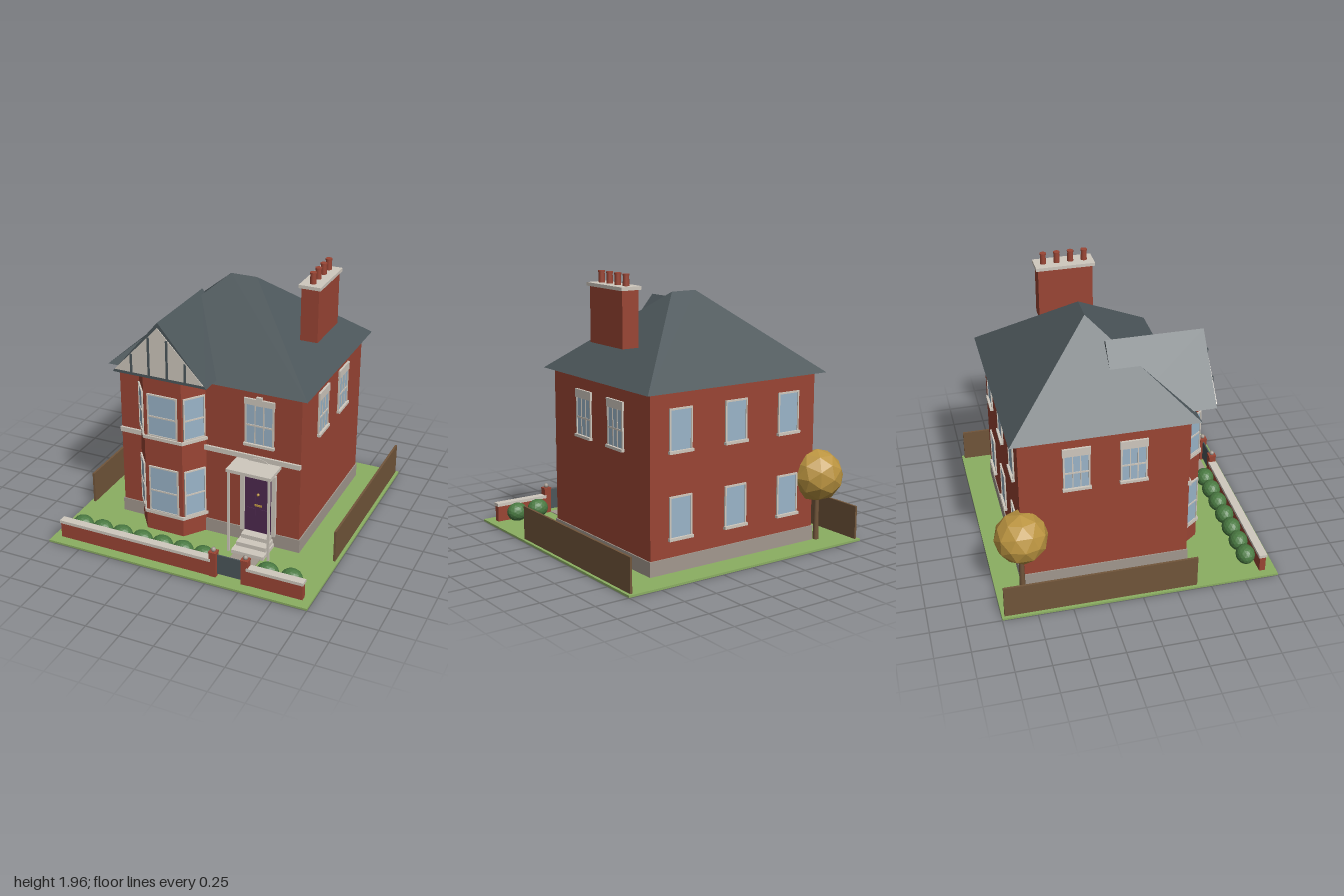
import * as THREE from 'three';
import { ConvexGeometry } from 'three/addons/geometries/ConvexGeometry.js';

const mat = (name, color, flatShading = false) => {
  const m = new THREE.MeshStandardMaterial({ color, flatShading });
  m.name = name;
  return m;
};

export function createModel() {
  const brick = mat('brick', 0x9a4534), cream = mat('cream stone', 0xcfc8be), slate = mat('slate', 0x4c565a);
  const grass = mat('grass', 0x8bae62), wood = mat('wood', 0x71553a), glass = mat('glass', 0x9ab4c8);
  const purple = mat('purple paint', 0x4e2a50), gold = mat('gold', 0xbb9440, true);
  const leaf = mat('leaf green', 0x4a7a42, true), stone = mat('grey stone', 0xa2988e);

  const model = new THREE.Group();
  model.name = 'house';
  const add = (name, geo, m, x = 0, y = 0, z = 0, parent = model) => {
    const mesh = new THREE.Mesh(geo, m);
    mesh.name = name;
    mesh.position.set(x, y, z);
    parent.add(mesh);
    return mesh;
  };
  // Box given by its minimum and maximum on each axis
  const box = (name, m, x0, x1, y0, y1, z0, z1, parent = model) =>
    add(name, new THREE.BoxGeometry(x1 - x0, y1 - y0, z1 - z0), m, (x0 + x1) / 2, (y0 + y1) / 2, (z0 + z1) / 2, parent);
  const shapeOf = pts => new THREE.Shape(pts.map(p => new THREE.Vector2(...p)));
  const extrude = (shape, depth) => new THREE.ExtrudeGeometry(shape, { depth, bevelEnabled: false, curveSegments: 16 });

  // Window facing +z with its bottom centre at the origin, then turned into place
  const windowUnit = (name, x, y, z, turn, w, h, { cols = 1, mid = true, sill = true, lintel = 0, key = false, f = 0.012 } = {}) => {
    const g = new THREE.Group();
    g.name = name;
    g.position.set(x, y, z);
    g.rotation.y = turn;
    model.add(g);
    box('pane', glass, -w / 2, w / 2, 0, h, -0.002, 0.006, g);
    for (const s of [-1, 1]) {
      const c = s * (w + f) / 2;
      box('jamb', cream, c - f / 2, c + f / 2, 0, h, -0.002, 0.012, g);
    }
    box('head', cream, -w / 2 - f, w / 2 + f, h, h + f, -0.002, 0.012, g);
    box('bottomRail', cream, -w / 2 - f, w / 2 + f, -f, 0, -0.002, 0.012, g);
    if (mid) box('meetingRail', cream, -w / 2, w / 2, h * 0.47 - 0.006, h * 0.47 + 0.006, 0, 0.011, g);
    for (let i = 1; i < cols; i++) {
      const c = -w / 2 + (w * i) / cols;
      box('glazingBar', cream, c - 0.004, c + 0.004, 0, h, 0, 0.01, g);
    }
    if (sill) box('sill', cream, -w / 2 - 0.018, w / 2 + 0.018, -0.02, 0, -0.002, 0.024, g);
    if (lintel) box('lintel', cream, -w / 2 - 0.016, w / 2 + 0.016, h, h + lintel, -0.002, 0.016, g);
    if (key) box('keystone', cream, -0.022, 0.022, h, h + lintel + 0.02, 0, 0.02, g);
  };

  // Ground, path and house body
  box('lawn', grass, -1, 1, 0, 0.015, -1, 1);
  box('path', stone, 0.285, 0.49, 0.012, 0.02, 0.58, 0.88);
  box('walls', brick, -0.7, 0.7, 0.015, 1.24, -0.8, 0.4);
  box('plinth', stone, -0.708, 0.708, 0.015, 0.12, -0.808, 0.408);
  box('bandLeft', cream, -0.705, -0.53, 0.69, 0.727, 0.39, 0.416);
  box('bandRight', cream, -0.04, 0.7, 0.69, 0.727, 0.39, 0.416);

  // Hipped main roof
  const corners = [];
  for (const s of [-1, 1]) {
    corners.push(new THREE.Vector3(s * 0.757, 1.24, 0.457), new THREE.Vector3(s * 0.757, 1.24, -0.86));
    corners.push(new THREE.Vector3(s * 0.1, 1.8, -0.2));
  }
  add('mainRoof', new ConvexGeometry(corners), slate);

  // Gable above the bay, with timbered front
  const bx = -0.2825;
  add('gableRoof', extrude(shapeOf([[-0.36, 1.262], [0.36, 1.262], [0, 1.688]]), 0.695), slate, bx, 0, -0.1);
  add('gablePanel', extrude(shapeOf([[-0.342, 1.285], [0.342, 1.285], [0, 1.65]]), 0.006), cream, bx, 0, 0.594);
  for (const d of [-0.206, -0.07, 0.07, 0.206])
    box('gableTimber', slate, bx + d - 0.007, bx + d + 0.007, 1.285, 1.645 - Math.abs(d) * 1.07, 0.598, 0.609);

  // Two-storey canted bay
  const bayLayer = (name, m, e, y0, y1) => {
    const pts = [[-0.2625 - e, -0.35], [-0.2625 - e, -0.4], [-0.1475 - e * 0.6, -0.555 - e],
      [0.1475 + e * 0.6, -0.555 - e], [0.2625 + e, -0.4], [0.2625 + e, -0.35]];
    add(name, extrude(shapeOf(pts), y1 - y0).rotateX(-Math.PI / 2), m, bx, y0, 0);
  };
  bayLayer('bayWalls', brick, 0, 0.015, 1.264);
  bayLayer('bayLowerSill', cream, 0.012, 0.155, 0.178);
  bayLayer('bayUpperSill', cream, 0.012, 0.768, 0.792);
  bayLayer('bayEaves', slate, 0.01, 1.25, 1.264);
  const turn = Math.atan2(0.155, 0.115);
  for (const [y, h] of [[0.19, 0.35], [0.808, 0.307]]) {
    const plain = { sill: false, f: 0.01 };
    windowUnit('bayFrontWindow', bx, y, 0.555, 0, 0.212, h, plain);
    for (const s of [-1, 1])
      windowUnit('baySideWindow', bx + s * 0.205, y, 0.4775, s * turn, 0.15, h, plain);
  }

  // Windows in the flat walls
  windowUnit('frontWindow', 0.39, 0.82, 0.4, 0, 0.195, 0.3, { cols: 3, lintel: 0.045, key: true });
  for (const s of [-1, 1])
    for (const z of [0, -0.4])
      windowUnit('sideWindow', s * 0.7, 0.82, z, s * Math.PI / 2, 0.165, 0.26, { cols: 3, lintel: 0.06 });
  for (const x of [-0.46, 0, 0.46])
    for (const y of [0.255, 0.845])
      windowUnit('backWindow', x, y, -0.8, Math.PI, 0.16, 0.27, { mid: false });

  // Front door with arched fanlight
  const dx = 0.39;
  box('door', purple, dx - 0.105, dx + 0.105, 0.107, 0.58, 0.39, 0.41);
  for (const s of [-1, 1]) {
    box('doorJamb', cream, dx + s * 0.12 - 0.015, dx + s * 0.12 + 0.015, 0.107, 0.6, 0.39, 0.425);
    for (const [y0, y1] of [[0.15, 0.3], [0.36, 0.55]])
      box('doorPanel', purple, dx + s * 0.052 - 0.033, dx + s * 0.052 + 0.033, y0, y1, 0.408, 0.414);
  }
  box('transom', cream, dx - 0.12, dx + 0.12, 0.58, 0.595, 0.39, 0.42);
  const arch = r => new THREE.Shape().absarc(0, 0, r, 0, Math.PI, false);
  const ring = arch(0.125);
  ring.holes.push(new THREE.Path().absarc(0, 0, 0.1, 0, Math.PI, false));
  add('fanlightSurround', extrude(ring, 0.03), cream, dx, 0.59, 0.39);
  add('fanlight', extrude(arch(0.102), 0.015), glass, dx, 0.59, 0.393);
  for (const a of [-0.9, -0.3, 0.3, 0.9]) {
    const bar = new THREE.BoxGeometry(0.005, 0.1, 0.006).translate(0, 0.05, 0).rotateZ(a);
    add('fanlightBar', bar, cream, dx, 0.59, 0.41);
  }
  box('letterbox', gold, dx - 0.027, dx + 0.027, 0.322, 0.336, 0.408, 0.417);
  add('doorKnocker', new THREE.IcosahedronGeometry(0.011, 1), gold, dx, 0.42, 0.416);

  // Porch canopy, posts and steps
  box('porchRoof', cream, 0.222, 0.558, 0.662, 0.687, 0.39, 0.597);
  for (const x of [0.237, 0.543]) box('porchPost', cream, x - 0.008, x + 0.008, 0.015, 0.665, 0.577, 0.593);
  [[0.606, 0.043, 0.125], [0.54, 0.075, 0.115], [0.477, 0.107, 0.105]].forEach(([z, y, w]) =>
    box('step', cream, dx - w, dx + w, 0.012, y, 0.39, z));

  // Chimney stack with four pots
  box('chimneyStack', brick, 0.515, 0.643, 1.47, 1.86, -0.4, 0);
  box('chimneyCap', cream, 0.499, 0.659, 1.858, 1.882, -0.416, 0.016);
  for (const z of [-0.35, -0.25, -0.15, -0.05]) {
    add('chimneyPot', new THREE.CylinderGeometry(0.02, 0.023, 0.08, 12), brick, 0.579, 1.92, z);
    add('potRim', new THREE.CylinderGeometry(0.024, 0.024, 0.012, 12), brick, 0.579, 1.957, z);
  }

  // Garden wall, gate piers and gate
  for (const [x0, x1] of [[-0.94, 0.25], [0.53, 0.937]]) {
    box('gardenWall', brick, x0, x1, 0.015, 0.132, 0.878, 0.922);
    box('wallCoping', cream, x0 - 0.005, x1 + 0.005, 0.132, 0.155, 0.87, 0.93);
  }
  for (const x of [0.27, 0.51]) {
    box('gatePier', brick, x - 0.026, x + 0.026, 0.015, 0.2, 0.874, 0.926);
    box('pierCap', brick, x - 0.029, x + 0.029, 0.2, 0.21, 0.871, 0.929);
    add('pierBall', new THREE.SphereGeometry(0.018, 12, 8), stone, x, 0.224, 0.9);
  }
  box('gate', slate, 0.298, 0.482, 0.035, 0.188, 0.895, 0.905);

  // Side fences
  for (const x of [-0.97, 0.97]) box('fence', wood, x - 0.008, x + 0.008, 0.01, 0.258, -0.98, 0.4);

  // Hedge bushes and tree
  for (const x of [-0.82, -0.66, -0.498, -0.336, -0.174, -0.012, 0.15, 0.637, 0.812])
    add('bush', new THREE.IcosahedronGeometry(0.08, 2).scale(1, 0.87, 0.87), leaf, x, 0.088, 0.81);
  add('treeTrunk', new THREE.CylinderGeometry(0.016, 0.022, 0.36, 8), wood, -0.74, 0.185, -0.81);
  add('treeCrown', new THREE.IcosahedronGeometry(0.19, 1), gold, -0.74, 0.49, -0.805);

  return model;
}
